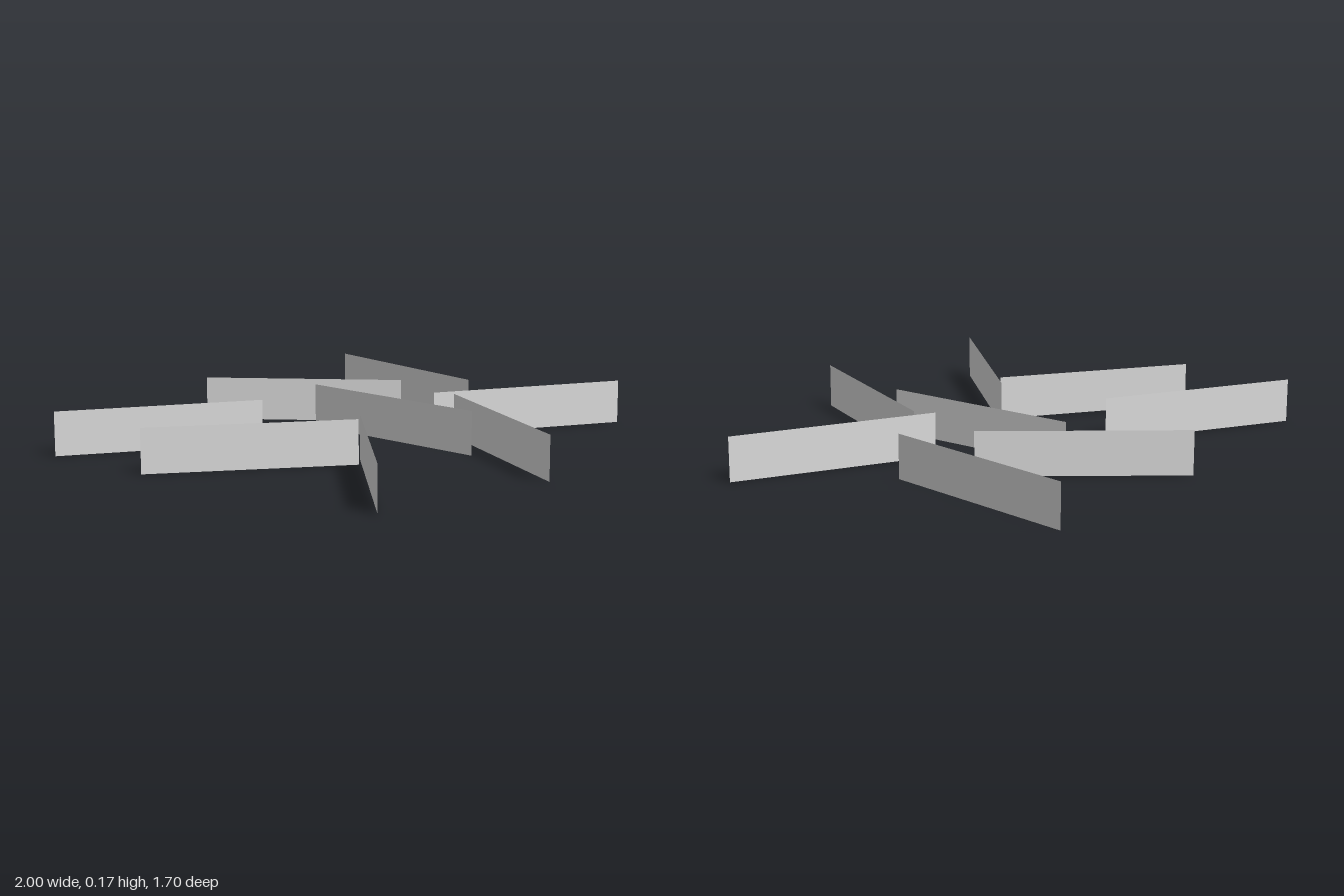
import * as THREE from 'three';

const LENGTH = 0.79;
const HEIGHT = 0.17;

// Each upright panel: centre x, centre z, and the direction it runs along (x, z)
const PANELS = [
  [-0.448, 0.448, 0.49, -0.62],
  [-0.60, -0.01, 0.69, 0.433],
  [-0.648, -0.49, 0.697, 0.353],
  [0.098, -0.013, 0.082, 0.784],
  [0.185, 0.478, 0.278, -0.755],
  [0.641, 0.20, 0.71, 0.325],
  [0.10, -0.528, 0.53, 0.571],
  [0.592, -0.452, 0.043, -0.797],
];

export function createModel() {
  const model = new THREE.Group();
  model.name = 'scatteredPanels';

  const paleGrey = new THREE.MeshStandardMaterial({ color: 0xdddddd, side: THREE.DoubleSide });
  paleGrey.name = 'paleGrey';

  // Thin upright strip standing on the ground
  const strip = new THREE.PlaneGeometry(LENGTH, HEIGHT);
  strip.translate(0, HEIGHT / 2, 0);

  PANELS.forEach(([x, z, dx, dz], i) => {
    const panel = new THREE.Mesh(strip, paleGrey);
    panel.name = `panel${i + 1}`;
    panel.position.set(x, 0, z);
    panel.rotation.y = Math.atan2(-dz, dx);
    model.add(panel);
  });

  return model;
}
